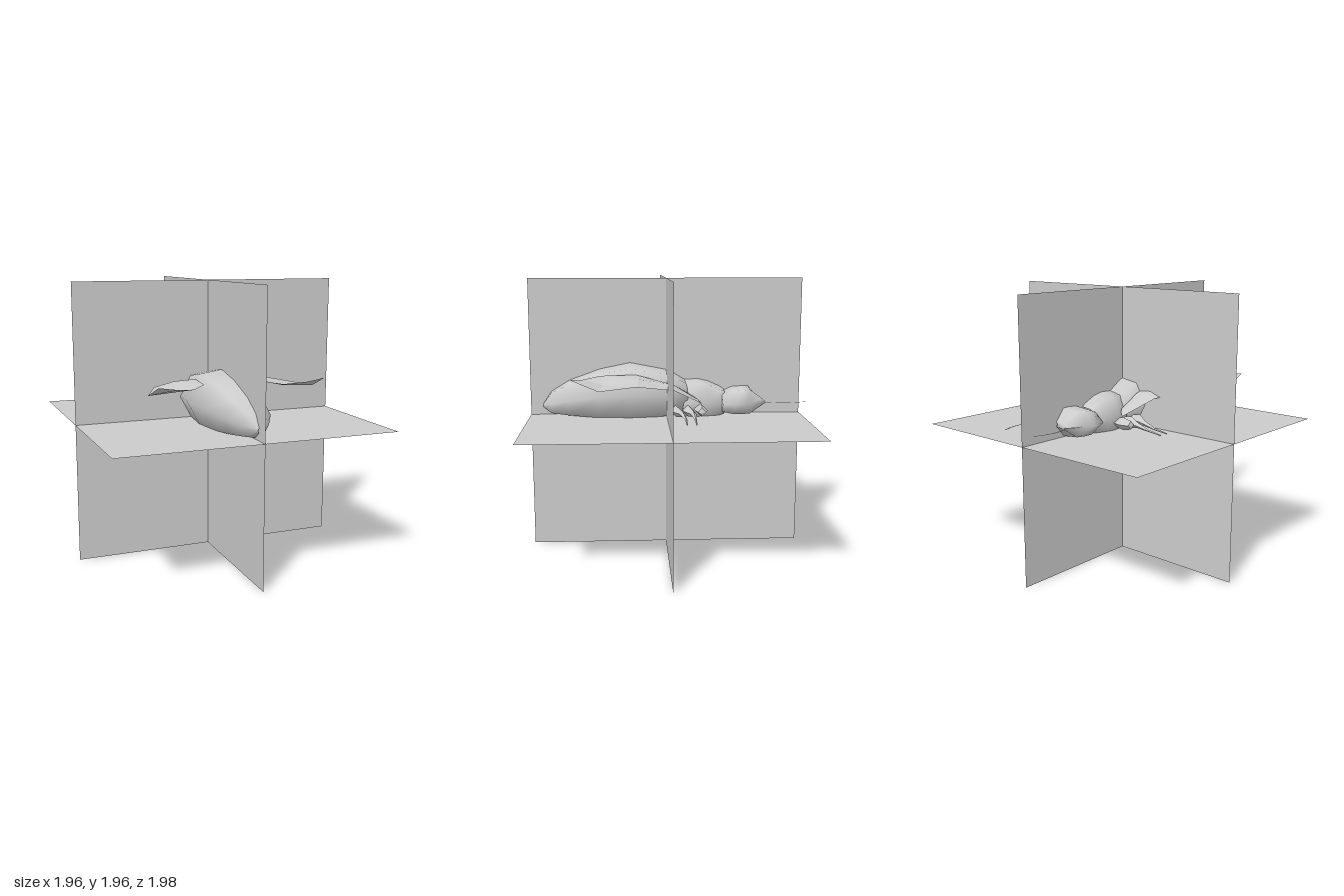
import * as THREE from 'three';

const grey = new THREE.MeshStandardMaterial({ color: 0xcccccc, side: THREE.DoubleSide });
const faceted = new THREE.MeshStandardMaterial({ color: 0xcccccc, side: THREE.DoubleSide, flatShading: true });

function add(parent, name, geometry, material = grey) {
  const mesh = new THREE.Mesh(geometry, material);
  mesh.name = name;
  parent.add(mesh);
  return mesh;
}

// Surface through rows of points; closed rows form a tube
function skin(rows, closed) {
  const n = rows[0].length, index = [];
  for (let i = 0; i < rows.length - 1; i++) {
    for (let k = 0; k < (closed ? n : n - 1); k++) {
      const a = i * n + k, b = i * n + (k + 1) % n;
      index.push(a, b, a + n, b, b + n, a + n);
    }
  }
  const g = new THREE.BufferGeometry();
  g.setAttribute('position', new THREE.Float32BufferAttribute(rows.flat(2), 3));
  g.setIndex(index);
  g.computeVertexNormals();
  return g;
}

// Eight-sided body from cross-sections [z, halfWidth, top, bottom], z ascending
const RING = [[1, 0], [0.62, 0.88], [0, 1], [-0.62, 0.88], [-1, 0], [-0.62, -0.88], [0, -1], [0.62, -0.88]];
function body(sections, shift = () => 0) {
  return skin(sections.map(([z, w, top, bottom]) => RING.map(([u, v]) =>
    [u * w, (top + bottom) / 2 + v * (top - bottom) / 2, z + shift(u * w, z)])), true);
}

// Four-sided limb along points [x, y, z, thickness]
function limb(points) {
  return skin(points.map(([x, y, z, t]) =>
    [[0, t], [t, 0], [0, -t], [-t, 0]].map(([dz, dy]) => [x, y + dy, z + dz])), true);
}

export function createModel() {
  const model = new THREE.Group();
  model.name = 'insectWithGuidePlanes';

  // Three crossing guide planes
  add(model, 'frontPlane', new THREE.PlaneGeometry(1.96, 1.96)).position.set(0, 0.98, 0.02);
  const side = add(model, 'sidePlane', new THREE.PlaneGeometry(1.96, 1.96));
  side.rotation.y = Math.PI / 2;
  side.position.set(0, 0.98, 0.02);
  const floor = add(model, 'levelPlane', new THREE.PlaneGeometry(1.96, 1.96));
  floor.rotation.x = -Math.PI / 2;
  floor.position.set(0, 0.98, 0.02);

  const insect = new THREE.Group();
  insect.name = 'insect';
  model.add(insect);

  add(insect, 'abdomen', body([
    [-0.12, 0.02, 1.14, 1.1], [-0.13, 0.16, 1.22, 1.01], [0, 0.21, 1.3, 0.965], [0.28, 0.26, 1.355, 0.947],
    [0.5, 0.225, 1.31, 0.955], [0.72, 0.17, 1.23, 0.975], [0.85, 0.095, 1.15, 0.99], [0.91, 0.01, 1.06, 1.035],
  ]));

  add(insect, 'thorax', body([
    [-0.4, 0.13, 1.16, 0.98], [-0.37, 0.15, 1.18, 0.97], [-0.28, 0.165, 1.22, 0.93],
    [-0.21, 0.185, 1.235, 0.925], [-0.11, 0.16, 1.23, 0.93], [-0.06, 0.1, 1.18, 0.98],
  ]));

  // Head bulges forward beside a notch at the middle of the face
  add(insect, 'head', body([
    [-0.65, 0.02, 1.09, 1.07], [-0.645, 0.14, 1.1, 1.06], [-0.58, 0.205, 1.18, 0.985], [-0.53, 0.235, 1.18, 0.985],
    [-0.46, 0.235, 1.175, 0.985], [-0.38, 0.18, 1.14, 1.0], [-0.37, 0.05, 1.1, 1.04],
  ], (x, z) => z < -0.6 ? -0.35 * Math.abs(x) : 0));

  for (const s of [1, -1]) {
    const half = new THREE.Group();
    half.name = s > 0 ? 'leftLimbs' : 'rightLimbs';
    half.scale.x = s;
    insect.add(half);

    // Wing: rows run from the inner to the outer edge
    add(half, 'wing', skin([
      [[0.16, 1.13, -0.17], [0.18, 1.11, -0.2], [0.21, 1.09, -0.22]],
      [[0.17, 1.22, -0.02], [0.25, 1.23, -0.02], [0.33, 1.2, -0.02]],
      [[0.18, 1.29, 0.24], [0.33, 1.28, 0.22], [0.48, 1.25, 0.24]],
      [[0.21, 1.29, 0.49], [0.38, 1.25, 0.47], [0.6, 1.24, 0.49]],
      [[0.32, 1.28, 0.6], [0.46, 1.3, 0.68], [0.59, 1.32, 0.68]],
    ], false), faceted);

    // Antenna: flat curved ribbon
    add(half, 'antenna', skin([[0.08, -0.66], [0.14, -0.7], [0.165, -0.77], [0.17, -0.84], [0.155, -0.92], [0.135, -0.98]]
      .map(([x, z]) => [[x - 0.006, 1.08, z], [x + 0.006, 1.08, z]]), false));

    // Legs: thick upper part, thin lower part
    add(half, 'frontLeg', limb([[0.1, 1.04, -0.2, 0.03], [0.22, 1.04, -0.22, 0.045], [0.29, 1.04, -0.22, 0.03], [0.3, 1.03, -0.21, 0]]), faceted);
    for (const [name, z, end] of [['middleLeg', -0.13, -0.165], ['rearLeg', -0.04, -0.1]]) {
      add(half, name, limb([
        [0.1, 1.03, z, 0.03], [0.22, 1.035, z, 0.04], [0.3, 1.03, (z + end) / 2 - 0.01, 0.02],
        [0.4, 1.01, end, 0.008], [0.51, 0.995, end, 0.004],
      ]), faceted);
    }
  }
  return model;
}
